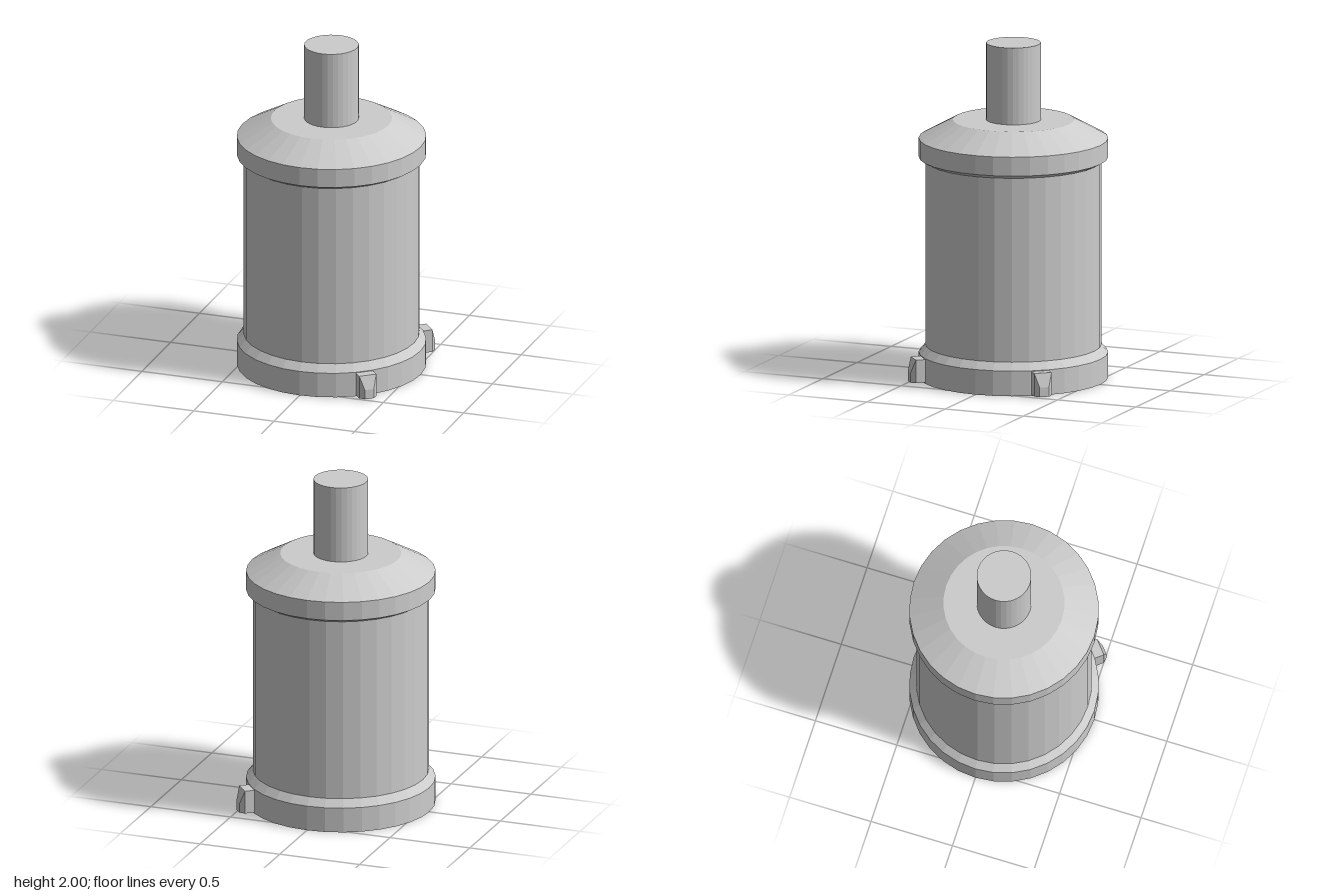
import * as THREE from 'three';
import { ConvexGeometry } from 'three/addons/geometries/ConvexGeometry.js';

const SIDES = 32;
const material = new THREE.MeshStandardMaterial({ color: 0xcccccc, flatShading: true });

function addMesh(parent, name, geometry) {
  const mesh = new THREE.Mesh(geometry, material);
  mesh.name = name;
  parent.add(mesh);
  return mesh;
}

// Lug pointing along +x: wide at the rim, tapering to a narrow outer face with a sloped top
function lugGeometry() {
  const bottom = 0.008, top = 0.146;
  const points = [];
  for (const s of [-1, 1]) {
    for (const r of [0.5, 0.611]) {
      points.push(new THREE.Vector3(r, bottom, s * 0.053), new THREE.Vector3(r, top, s * 0.053));
    }
    points.push(new THREE.Vector3(0.637, bottom, s * 0.028), new THREE.Vector3(0.637, 0.065, s * 0.028));
  }
  return new ConvexGeometry(points);
}

export function createModel() {
  const model = new THREE.Group();
  model.name = 'canister';

  // Body: base flange, barrel, collar and sloped shoulder in one profile
  const profile = [
    [0, 0], [0.555, 0], [0.555, 0.15], [0.515, 0.195], [0.515, 1.295],
    [0.555, 1.317], [0.555, 1.43], [0.355, 1.54], [0, 1.54],
  ].map(([r, y]) => new THREE.Vector2(r, y));
  addMesh(model, 'body', new THREE.LatheGeometry(profile, SIDES));

  // Neck on top
  const neck = addMesh(model, 'neck', new THREE.CylinderGeometry(0.16, 0.16, 0.46, SIDES));
  neck.position.y = 1.77;

  // Two locking lugs on the base flange, a quarter turn apart
  for (const [name, degrees] of [['frontLug', -50], ['backLug', 40]]) {
    const lug = addMesh(model, name, lugGeometry());
    lug.rotation.y = THREE.MathUtils.degToRad(degrees);
  }
  return model;
}
